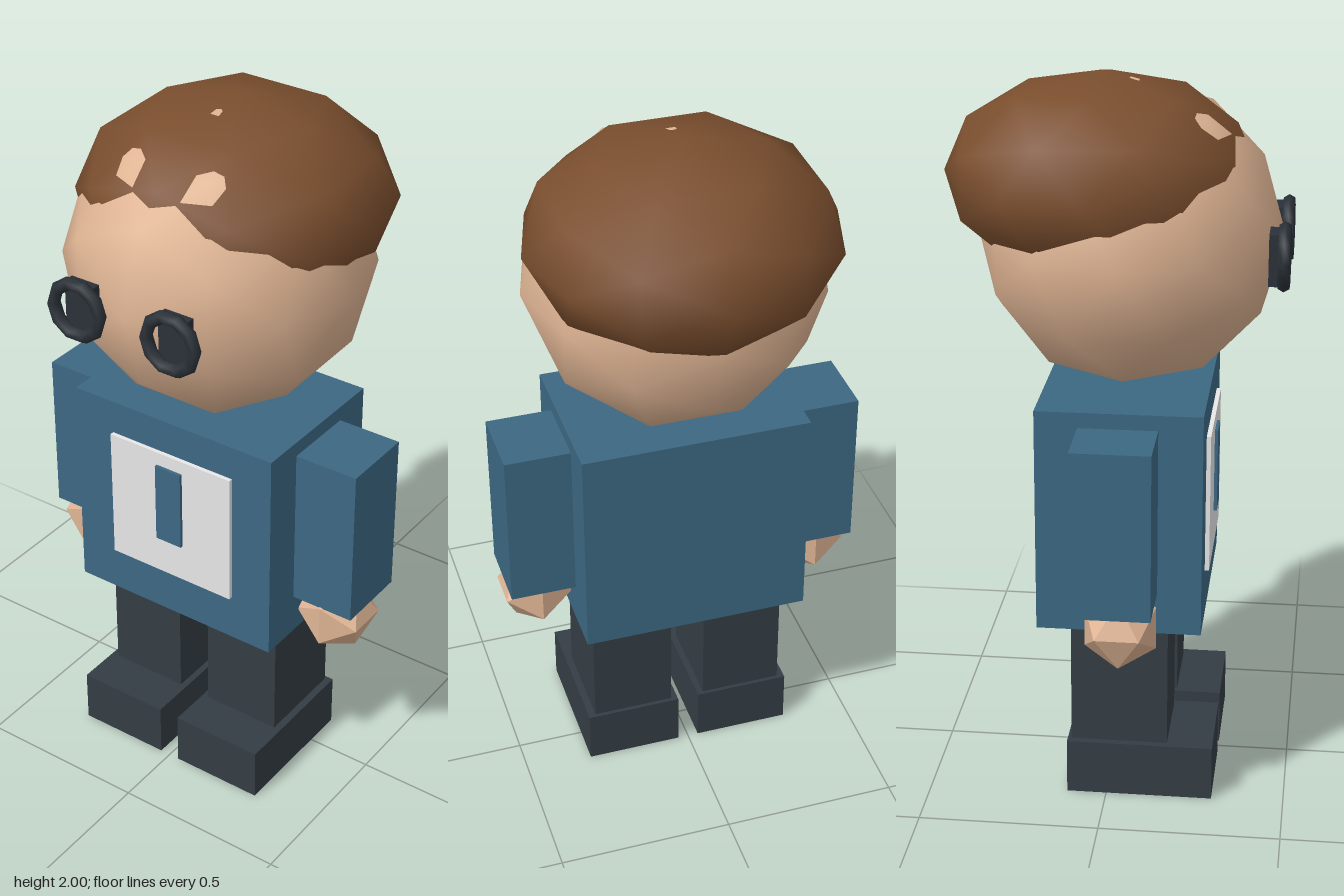
import * as THREE from 'three';

const material = (name, color) => {
  const m = new THREE.MeshStandardMaterial({ color });
  m.name = name;
  return m;
};

export function createModel() {
  const skin = material('skin', 0xe0b594);
  const hairBrown = material('hair brown', 0x7a4e2e);
  const shirtBlue = material('shirt blue', 0x3c6882);
  const panelGrey = material('panel grey', 0xe8e8e8);
  const trouserDark = material('trouser charcoal', 0x343d44);
  const glassesDark = material('glasses dark', 0x2a3138);

  const model = new THREE.Group();
  model.name = 'figure';

  const add = (name, geometry, mat, x, y, z) => {
    const mesh = new THREE.Mesh(geometry, mat);
    mesh.name = name;
    mesh.position.set(x, y, z);
    model.add(mesh);
    return mesh;
  };

  // Box given by its extents on each axis
  const box = (name, mat, [x0, x1], [y0, y1], [z0, z1]) =>
    add(name, new THREE.BoxGeometry(x1 - x0, y1 - y0, z1 - z0), mat,
      (x0 + x1) / 2, (y0 + y1) / 2, (z0 + z1) / 2);

  // Head, with a flattened hair cap set back over it
  add('head', new THREE.IcosahedronGeometry(0.42, 1), skin, 0, 1.563, 0.035);
  add('hair', new THREE.IcosahedronGeometry(0.43, 1), hairBrown, 0, 1.72, -0.045)
    .scale.y = 0.28 / 0.43;

  // Torso and chest decoration
  box('torso', shirtBlue, [-0.325, 0.325], [0.517, 1.15], [-0.19, 0.263]);
  box('chestPanel', panelGrey, [-0.2, 0.2], [0.655, 1.05], [0.263, 0.275]);
  box('chestStripe', shirtBlue, [-0.042, 0.042], [0.77, 1.01], [0.275, 0.284]);

  // Paired parts, mirrored across x
  for (const [side, s] of [['left', 1], ['right', -1]]) {
    const span = (a, b) => (s > 0 ? [a, b] : [-b, -a]);

    box(`${side}Arm`, shirtBlue, span(0.325, 0.512), [0.637, 1.107], [-0.073, 0.143]);
    add(`${side}Hand`, new THREE.IcosahedronGeometry(0.114, 0), skin, s * 0.416, 0.577, 0.052);
    box(`${side}Leg`, trouserDark, span(0.05, 0.286), [0.158, 0.517], [-0.1, 0.17]);
    box(`${side}Shoe`, trouserDark, span(0.031, 0.307), [0, 0.158], [-0.111, 0.298]);

    // Eye block behind a round glasses rim
    box(`${side}Eye`, glassesDark, span(0.104, 0.192), [1.473, 1.613], [0.417, 0.447]);
    add(`${side}GlassesRim`, new THREE.TorusGeometry(0.075, 0.0185, 6, 10), glassesDark,
      s * 0.148, 1.544, 0.457);
  }

  return model;
}
